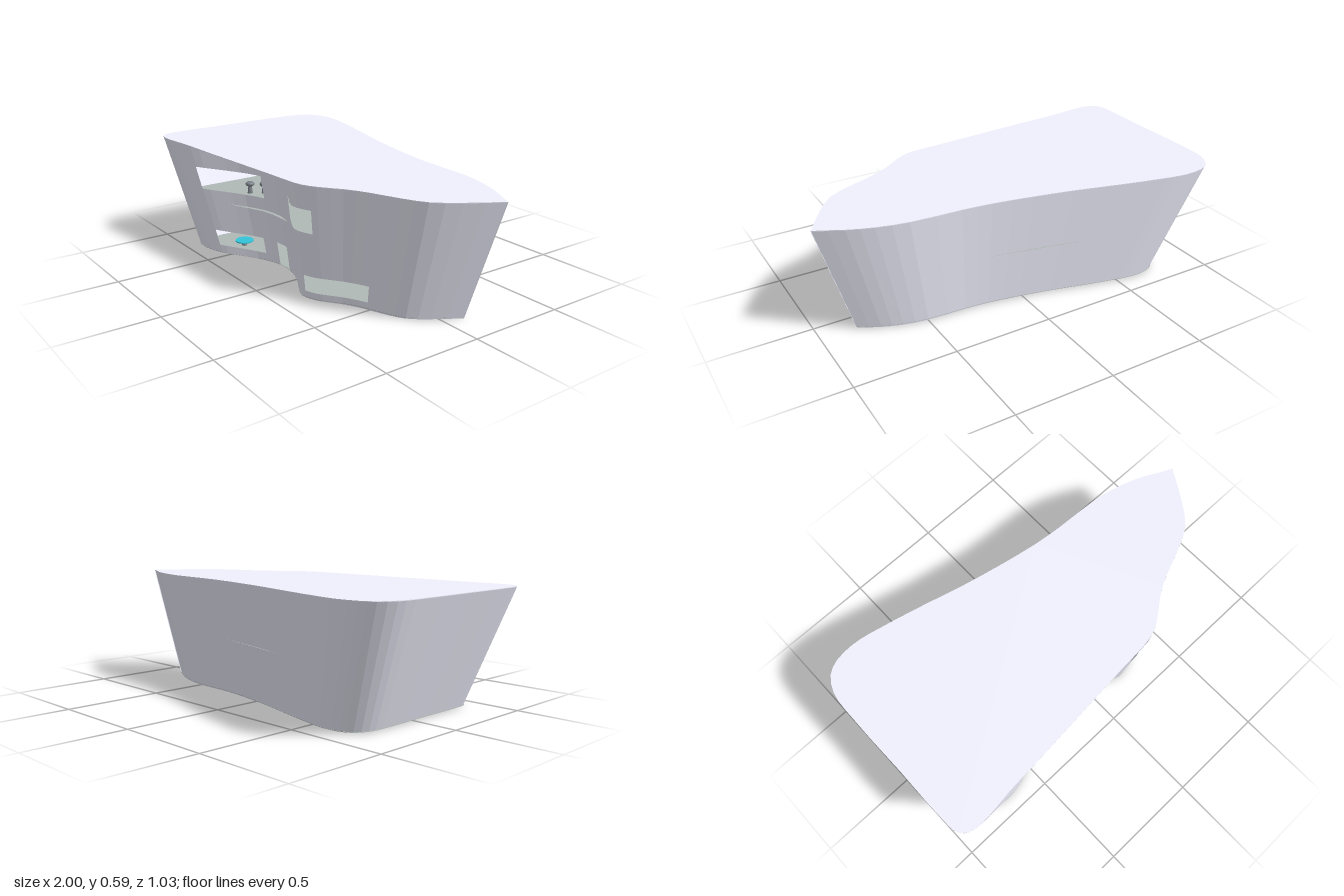
import * as THREE from 'three';

const H = 0.59;
const paint = (color, flatShading) => new THREE.MeshStandardMaterial({ color, flatShading, side: THREE.DoubleSide });
const white = paint(0xf1f1ff, true);
const floorGrey = paint(0xb0bab5, true);
const dark = paint(0x7c8288, false);
const teal = paint(0x33c4da, false);

// Plan outlines [x, z] at roof height, running from the sharp tip round the front
const bow = [[1, -0.14], [0.9, 0.02], [0.81, 0.13], [0.7, 0.19], [0.55, 0.25], [0.45, 0.305], [0.35, 0.38], [0.28, 0.415], [0.2, 0.427]];
const notch = [[0.1, 0.38], [-0.05, 0.305], [-0.2, 0.27], [-0.33, 0.285], [-0.45, 0.335], [-0.6, 0.42], [-0.7, 0.475]];
const straight = [[0.05, 0.437], [-0.2, 0.457], [-0.45, 0.477], [-0.7, 0.494]];
const corner = [[-0.8, 0.507], [-0.89, 0.515], [-0.95, 0.505], [-0.988, 0.475], [-1, 0.42]];
const rear = [[-1, 0.1], [-1, -0.3], [-0.988, -0.395], [-0.945, -0.472], [-0.88, -0.508], [-0.78, -0.518], [-0.68, -0.505],
  [-0.4, -0.44], [-0.2, -0.388], [0, -0.345], [0.2, -0.31], [0.35, -0.295], [0.6, -0.282], [0.75, -0.25], [0.87, -0.205], [1, -0.135]];
const wallPlan = [...bow, ...notch, ...corner, ...rear];
const roofPlan = [...bow, ...straight, ...corner, ...rear];

const toCurve = plan => new THREE.CatmullRomCurve3(plan.map(([x, z]) => new THREE.Vector3(x, 0, z)), false, 'centripetal');

// The shell narrows evenly towards the ground; its foot rises a little to the right side
function taper(p, y) {
  const t = y / H, s = 0.8 + 0.2 * t;
  return [p.x * s + 0.02 * (1 - t), y + (1 - t) * 0.005 * (1 - p.x), p.z * s + 0.014 * (1 - t)];
}

// Openings: plan x range at roof height, then height range
const openings = [
  [-0.70, -0.325, 0.35, 0.468],
  [-0.695, -0.385, 0.042, 0.125],
  [-0.275, -0.165, 0, 0.125],
  [0.05, 0.32, 0.35, 0.468],
  [0.245, 0.59, 0.038, 0.123],
];

function buildWall() {
  const curve = toCurve(wallPlan);
  const frontEnd = (bow.length + notch.length + corner.length - 1) / (wallPlan.length - 1);
  // Curve parameter where the front wall passes a given x
  const paramAt = x => {
    let a = 0, b = frontEnd;
    for (let i = 0; i < 40; i++) {
      const m = (a + b) / 2;
      if (curve.getPoint(m).x > x) a = m; else b = m;
    }
    return a;
  };
  const holes = openings.map(([x0, x1, y0, y1]) => ({ u0: paramAt(x1), u1: paramAt(x0), y0, y1 }));
  const us = [], ys = [0, H - 0.003], n = (wallPlan.length - 1) * 2;
  for (let i = 0; i <= n; i++) us.push(i / n);
  for (const h of holes) {
    us.push(h.u0, h.u1);
    ys.push(h.y0, h.y1);
  }
  const sorted = list => [...new Set(list)].sort((a, b) => a - b);
  const U = sorted(us), Y = sorted(ys), pos = [];
  for (let i = 0; i < U.length - 1; i++) {
    const p = curve.getPoint(U[i]), q = curve.getPoint(U[i + 1]), um = (U[i] + U[i + 1]) / 2;
    for (let j = 0; j < Y.length - 1; j++) {
      const ym = (Y[j] + Y[j + 1]) / 2;
      if (holes.some(h => um > h.u0 && um < h.u1 && ym > h.y0 && ym < h.y1)) continue;
      const a = taper(p, Y[j]), b = taper(q, Y[j]), c = taper(q, Y[j + 1]), d = taper(p, Y[j + 1]);
      pos.push(...a, ...c, ...b, ...a, ...d, ...c);
    }
  }
  const g = new THREE.BufferGeometry();
  g.setAttribute('position', new THREE.Float32BufferAttribute(pos, 3));
  g.computeVertexNormals();
  return g;
}

// Thin horizontal plate following a plan at a given height
function buildSlab(plan, y, thick) {
  const pts = toCurve(plan).getPoints((plan.length - 1) * 2).slice(0, -1).map(p => {
    const [x, , z] = taper(p, y);
    return new THREE.Vector2(x, -z);
  });
  const g = new THREE.ExtrudeGeometry(new THREE.Shape(pts), { depth: thick, bevelEnabled: false });
  g.rotateX(-Math.PI / 2);
  g.translate(0, y, 0);
  return g;
}

export function createModel() {
  const model = new THREE.Group();
  const add = (name, geo, mat, x = 0, y = 0, z = 0, parent = model) => {
    const m = new THREE.Mesh(geo, mat);
    m.name = name;
    m.position.set(x, y, z);
    parent.add(m);
    return m;
  };

  // Shell and floors; the middle floor pokes slightly through the hollows of the wall
  add('outerWall', buildWall(), white);
  add('roof', buildSlab(roofPlan, H - 0.004, 0.004), white);
  add('groundFloor', buildSlab(wallPlan, 0.007, 0.002), floorGrey);
  const middlePlan = wallPlan.map(([x, z]) => {
    if (z > 0.2 && x > -0.5 && x < -0.1) z += 0.025;
    if (z < -0.2 && x > -0.25 && x < 0.25) z -= x < 0.1 ? 0.012 : 0.006;
    return [x * 0.985, z * 0.985];
  });
  add('middleFloor', buildSlab(middlePlan, 0.288, 0.0003), floorGrey);

  // Feet showing under the ground floor
  add('roundBase', new THREE.CylinderGeometry(0.08, 0.08, 0.008, 8), floorGrey, -0.55, 0.007, 0.02);
  add('smallBase', new THREE.CylinderGeometry(0.025, 0.025, 0.008, 6), floorGrey, 0, 0.007, 0);

  // Pedestal furniture: a leg with a seat or top
  const pedestal = (name, x, y, z, height, topGeometry, topMaterial) => {
    const group = new THREE.Group();
    group.name = name;
    group.position.set(x, y, z);
    add(name + 'Leg', new THREE.CylinderGeometry(0.008, 0.015, height, 8), dark, 0, height / 2, 0, group);
    add(name + 'Top', topGeometry, topMaterial, 0, height, 0, group);
    model.add(group);
  };
  for (const [x, z] of [[-0.6, 0.17], [-0.55, 0.11], [0.245, 0.1]]) {
    pedestal('stool', x, 0.289, z, 0.052, new THREE.SphereGeometry(0.025, 12, 8).scale(1, 0.6, 1), dark);
  }
  pedestal('table', -0.56, 0.009, 0.24, 0.028, new THREE.CylinderGeometry(0.05, 0.05, 0.006, 24), teal);

  // Sloping slide from the middle floor down to the ground floor, with a cabinet and a bench
  const slide = add('slide', new THREE.BoxGeometry(0.42, 0.007, 0.05), teal, -0.51, 0.162, 0);
  slide.rotation.z = -0.63;
  add('cabinet', new THREE.BoxGeometry(0.045, 0.09, 0.04), white, -0.335, 0.054, -0.05);
  add('bench', new THREE.BoxGeometry(0.1, 0.035, 0.04), floorGrey, 0.41, 0.026, -0.05);

  return model;
}
